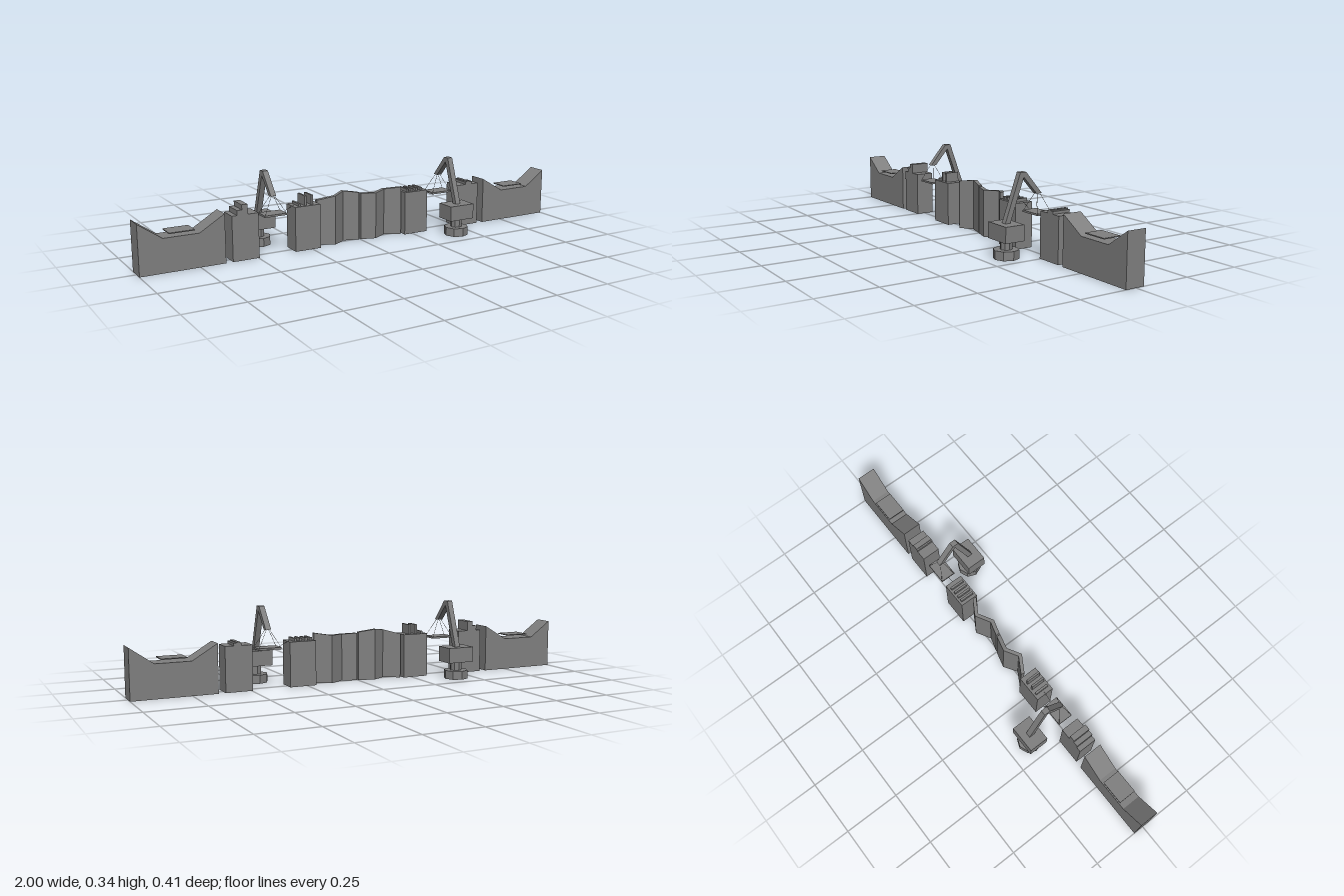
import * as THREE from 'three';

const mat = new THREE.MeshStandardMaterial({ color: 0x808080, flatShading: true, side: THREE.DoubleSide });

function add(parent, name, geometry, x = 0, y = 0, z = 0) {
  const mesh = new THREE.Mesh(geometry, mat);
  mesh.name = name;
  mesh.position.set(x, y, z);
  parent.add(mesh);
  return mesh;
}

// Box given by its x, y and z ranges
function span(parent, name, [x0, x1], [y0, y1], [z0, z1]) {
  return add(parent, name, new THREE.BoxGeometry(x1 - x0, y1 - y0, z1 - z0),
    (x0 + x1) / 2, (y0 + y1) / 2, (z0 + z1) / 2);
}

function extrude(points, depth) {
  const shape = new THREE.Shape(points.map(([x, y]) => new THREE.Vector2(x, y)));
  return new THREE.ExtrudeGeometry(shape, { depth, bevelEnabled: false });
}

// Thin rope between two points
function rope(parent, a, b) {
  const path = new THREE.LineCurve3(new THREE.Vector3(...a), new THREE.Vector3(...b));
  add(parent, 'rope', new THREE.TubeGeometry(path, 1, 0.0008, 5));
}

// End ramp with a dipped top and a plate hovering over the dip
function addRamp(side) {
  const profile = [[0.642, 0], [1, 0], [1, 0.212], [0.9, 0.142], [0.75, 0.142], [0.642, 0.207]];
  add(side, 'endRamp', extrude(profile, 0.084), 0, 0, -0.038);
  span(side, 'hoverPlate', [0.768, 0.874], [0.155, 0.159], [-0.036, 0.043]);
}

// Block with raised bars; each bar is [x0, x1, top, halfDepth]
function addBlock(side, name, x0, x1, bars) {
  const group = new THREE.Group();
  group.name = name;
  span(group, 'block', [x0, x1], [0, 0.192], [-0.038, 0.044]);
  for (const [a, b, top, half] of bars) {
    span(group, 'bar', [a, b], [0.19, top], [0.003 - half, 0.003 + half]);
  }
  side.add(group);
}

// Crane on an octagonal foot, with a bent arm carrying a platform on ropes
function addCrane(side) {
  const crane = new THREE.Group();
  crane.name = 'crane';
  crane.position.x = 0.415;
  add(crane, 'foot', new THREE.CylinderGeometry(0.053, 0.053, 0.037, 8), 0, 0.0185, 0.15);
  add(crane, 'column', new THREE.CylinderGeometry(0.025, 0.025, 0.04, 8), 0, 0.056, 0.15);
  span(crane, 'cabin', [-0.061, 0.061], [0.075, 0.141], [0.106, 0.194]);

  // Arm outline drawn as (z, y) and turned into the side plane
  const arm = extrude([[0.163, 0.139], [0.139, 0.139], [0.075, 0.318], [0.012, 0.246],
    [-0.013, 0.246], [0.064, 0.338], [0.092, 0.338]], 0.024);
  arm.rotateY(-Math.PI / 2);
  add(crane, 'arm', arm, 0.012, 0, 0);

  span(crane, 'platform', [-0.05, 0.05], [0.164, 0.172], [-0.033, 0.035]);
  for (const sx of [-1, 1]) {
    for (const sz of [-1, 1]) rope(crane, [sx * 0.006, 0.248, sz * 0.006], [sx * 0.048, 0.172, sz * 0.032]);
  }
  rope(crane, [-0.05, 0.17, 0], [-0.095, 0.193, 0]);
  side.add(crane);
}

// Folded wall: points are [x, z, height], joined as a ribbon of even depth
function addFoldedWall(parent, points) {
  const t = 0.009;
  const plan = [...points.map(([x, z]) => [x, -z - t]),
    ...points.slice().reverse().map(([x, z]) => [x, -z + t])];
  const geometry = extrude(plan, 1).rotateX(-Math.PI / 2);
  const pos = geometry.attributes.position;
  for (let i = 0; i < pos.count; i++) {
    const p = points.find(([x]) => Math.abs(x - pos.getX(i)) < 1e-4);
    pos.setY(i, pos.getY(i) * p[2]);
  }
  geometry.computeVertexNormals();
  add(parent, 'foldedWall', geometry);
}

// One half of the model: the two blocks differ only in their bars
function addSide(model, name, outerBars, innerBars) {
  const side = new THREE.Group();
  side.name = name;
  addRamp(side);
  addBlock(side, 'outerBlock', 0.495, 0.612, outerBars);
  addBlock(side, 'innerBlock', 0.211, 0.329, innerBars);
  addCrane(side);
  model.add(side);
  return side;
}

export function createModel() {
  const model = new THREE.Group();
  model.name = 'model';

  addSide(model, 'leftSide',
    [[0.541, 0.575, 0.203, 0.041], [0.548, 0.563, 0.207, 0.041]],
    [0.23, 0.252, 0.277, 0.301].map((x) => [x - 0.005, x + 0.005, 0.205, 0.032]));

  // Right side, turned half way round
  const right = addSide(model, 'rightSide',
    [[0.568, 0.59, 0.213, 0.041], [0.542, 0.568, 0.234, 0.041]],
    [[0.299, 0.309, 0.203, 0.032], [0.272, 0.281, 0.234, 0.032], [0.241, 0.25, 0.234, 0.032]]);
  right.rotation.y = Math.PI;

  // Middle walls
  addFoldedWall(model, [[-0.2, -0.022, 0.196], [-0.132, 0.017, 0.215], [-0.074, -0.02, 0.223], [-0.004, -0.001, 0.212]]);
  addFoldedWall(model, [[0.004, 0.001, 0.208], [0.068, 0.02, 0.205], [0.132, -0.017, 0.208], [0.198, 0.022, 0.217]]);

  return model;
}
